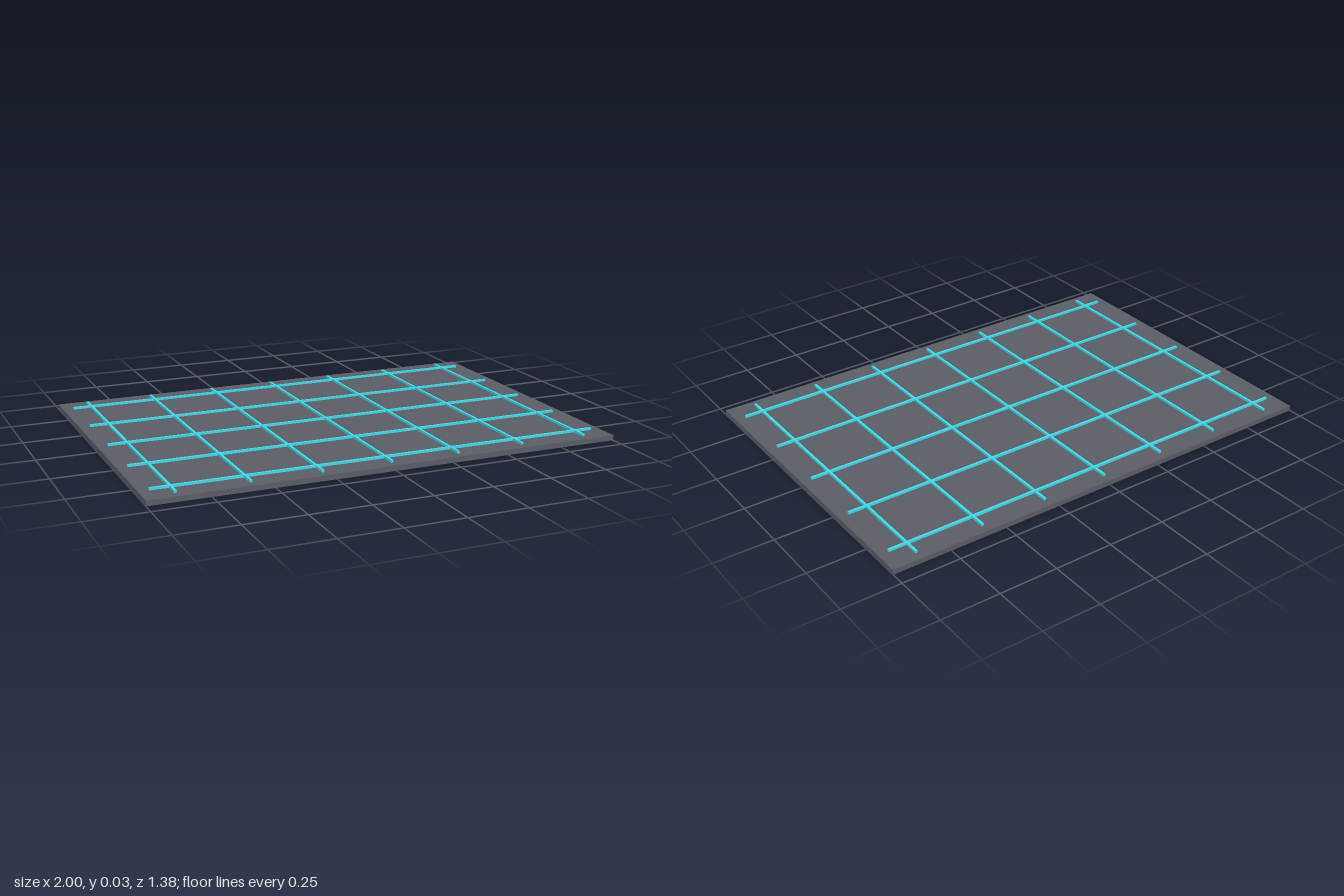
import * as THREE from 'three';

export function createModel() {
  const model = new THREE.Group();
  const slabMaterial = new THREE.MeshStandardMaterial({ color: 0x5a5d64 });
  const lineMaterial = new THREE.MeshStandardMaterial({ color: 0x3fdce6 });

  const addBox = (name, size, position, material) => {
    const mesh = new THREE.Mesh(new THREE.BoxGeometry(...size), material);
    mesh.name = name;
    mesh.position.set(...position);
    model.add(mesh);
  };

  const slabHeight = 0.022;
  const spacing = 0.2925;
  const lineWidth = 0.01;
  const lineHeight = 0.01;
  const lineY = slabHeight + lineHeight / 2;

  // Flat floor slab
  addBox('floorSlab', [2, slabHeight, 1.38], [0, slabHeight / 2, 0], slabMaterial);

  // Raised grid lines running front to back
  for (let i = -3; i <= 3; i++) {
    addBox('lengthwiseGridLine', [lineWidth, lineHeight, 1.305], [i * spacing, lineY, 0], lineMaterial);
  }

  // Raised grid lines running side to side
  for (let i = -2; i <= 2; i++) {
    addBox('crosswiseGridLine', [1.915, lineHeight, lineWidth], [0, lineY, i * spacing], lineMaterial);
  }

  return model;
}
